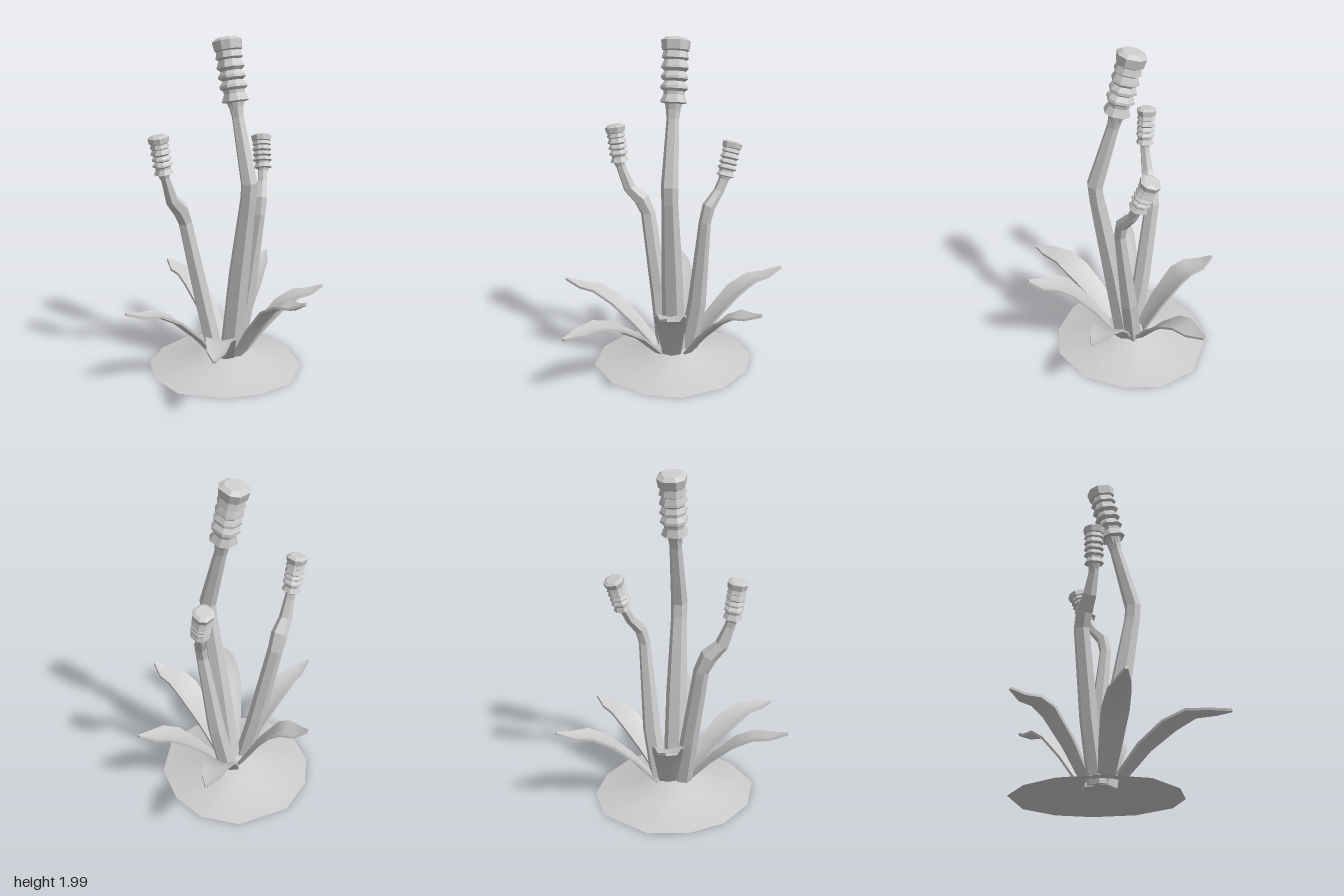
import * as THREE from 'three';
import { toCreasedNormals } from 'three/addons/utils/BufferGeometryUtils.js';

const V = (x, y, z) => new THREE.Vector3(x, y, z);
const flat = new THREE.MeshStandardMaterial({ color: 0xcccccc, flatShading: true });
const smooth = new THREE.MeshStandardMaterial({ color: 0xcccccc, side: THREE.DoubleSide });

// Skin a list of equal-length rings; rings turn counter-clockwise around the travel direction
function loft(rings, capStart, capEnd) {
  const n = rings[0].length, pos = [], idx = [];
  rings.forEach(r => r.forEach(p => pos.push(p.x, p.y, p.z)));
  for (let i = 0; i < rings.length - 1; i++) {
    for (let j = 0; j < n; j++) {
      const a = i * n + j, b = i * n + (j + 1) % n;
      idx.push(a, b, b + n, a, b + n, a + n);
    }
  }
  const cap = (row, flip) => {
    const c = V(0, 0, 0), k = pos.length / 3;
    rings[row].forEach(p => c.addScaledVector(p, 1 / n));
    pos.push(c.x, c.y, c.z);
    for (let j = 0; j < n; j++) {
      const a = row * n + j, b = row * n + (j + 1) % n;
      idx.push(...(flip ? [k, b, a] : [k, a, b]));
    }
  };
  if (capStart) cap(0, true);
  if (capEnd) cap(rings.length - 1, false);
  const g = new THREE.BufferGeometry();
  g.setAttribute('position', new THREE.Float32BufferAttribute(pos, 3));
  g.setIndex(idx);
  g.computeVertexNormals();
  return g;
}

const tangent = (pts, i) =>
  pts[Math.min(i + 1, pts.length - 1)].clone().sub(pts[Math.max(i - 1, 0)]).normalize();

// Place a 2D section on a centre, perpendicular to dir
function ring(center, dir, section, r) {
  const u = V(1, 0, 0).addScaledVector(dir, -dir.x).normalize();
  const v = dir.clone().cross(u);
  return section.map(([a, b]) => center.clone().addScaledVector(u, a * r).addScaledVector(v, b * r));
}

const hexagon = Array.from({ length: 6 }, (_, i) => [Math.cos(i * Math.PI / 3), Math.sin(i * Math.PI / 3)]);
const k = 0.5; // square with cut corners
const cutSquare = [[1, -k], [1, k], [k, 1], [-k, 1], [-1, k], [-1, -k], [-k, -1], [k, -1]];

// Ridged flower head: [fraction of length, fraction of radius]
const headProfile = [
  [-0.12, 0.45], [0, 0.62], [0.02, 0.98], [0.14, 0.74], [0.19, 0.76], [0.23, 1], [0.27, 0.96],
  [0.34, 0.7], [0.38, 0.98], [0.42, 0.96], [0.49, 0.74], [0.54, 1], [0.57, 0.96],
  [0.66, 0.78], [0.69, 0.98], [0.79, 0.84], [0.81, 0.98], [0.95, 1.06], [1, 0.72],
];

function flower(path, radii, top, headRadius) {
  const group = new THREE.Group();
  const pts = path.map(p => V(...p));
  const stem = new THREE.Mesh(
    loft(pts.map((p, i) => ring(p, tangent(pts, i), hexagon, radii[i])), true, true), flat);
  stem.name = 'stem';
  const start = pts[pts.length - 1], axis = V(...top).sub(start), dir = axis.clone().normalize();
  const head = new THREE.Mesh(loft(headProfile.map(([t, r]) =>
    ring(start.clone().addScaledVector(axis, t), dir, cutSquare, r * headRadius)), true, true), flat);
  head.name = 'flowerHead';
  group.add(stem, head);
  return group;
}

// Leaf from base to tip in plan; profile rows are [fraction outward, height]
function leaf([bx, bz], [tx, tz], profile, width) {
  const widths = [0.62, 0.85, 1, 0.84, 0.6, 0.1];
  const pts = profile.map(([t, y]) => V(bx + (tx - bx) * t, y, bz + (tz - bz) * t));
  const side = V(0, 1, 0).cross(V(tx - bx, 0, tz - bz)).normalize();
  const rings = pts.map((p, i) => {
    const up = tangent(pts, i).cross(side);
    const w = width * widths[i], h = 0.007, f = w * 0.12;
    return [[w, f - h], [w, f + h], [0, h - f], [-w, f + h], [-w, f - h], [0, -h - f]]
      .map(([a, b]) => p.clone().addScaledVector(side, a).addScaledVector(up, b));
  });
  const mesh = new THREE.Mesh(toCreasedNormals(loft(rings, true, true), 0.7), smooth);
  mesh.name = 'leaf';
  return mesh;
}

export function createModel() {
  const model = new THREE.Group();

  // Low mound, open underneath
  const outline = [[0.48, 0.02], [0.49, -0.2], [0.38, -0.41], [0.09, -0.54], [-0.15, -0.49], [-0.33, -0.36],
    [-0.44, -0.15], [-0.44, 0.1], [-0.28, 0.3], [-0.07, 0.4], [0.15, 0.4], [0.37, 0.25]];
  const cx = 0.03, cz = -0.05;
  const moundRings = [[1, 0], [0.42, 0.058], [0.25, 0.1]].map(([s, y]) =>
    outline.map(([x, z]) => V(cx + (x - cx) * s, y, cz + (z - cz) * s)));
  const mound = new THREE.Mesh(toCreasedNormals(loft(moundRings, false, true), 0.6), smooth);
  mound.name = 'mound';
  model.add(mound);

  // Tall middle flower and two shorter ones
  const flowers = {
    tallFlower: flower(
      [[0.035, 0.06, -0.02], [0.035, 0.6, 0.06], [0.035, 1.08, 0.142], [0.035, 1.17, 0.15], [0.035, 1.54, 0.045], [0.035, 1.62, 0.025]],
      [0.07, 0.064, 0.048, 0.05, 0.036, 0.046], [0.035, 1.975, -0.06], 0.073),
    rightFlower: flower(
      [[-0.03, 0.06, -0.08], [-0.08, 0.4, -0.14], [-0.16, 0.9, -0.205], [-0.2, 0.99, -0.2], [-0.27, 1.06, -0.185], [-0.31, 1.17, -0.175], [-0.325, 1.22, -0.175]],
      [0.055, 0.053, 0.045, 0.05, 0.04, 0.03, 0.03], [-0.355, 1.445, -0.185], 0.052),
    leftFlower: flower(
      [[0.11, 0.06, -0.07], [0.17, 0.4, -0.035], [0.22, 0.94, 0.025], [0.24, 1.03, 0.015], [0.29, 1.11, -0.035], [0.32, 1.19, -0.065]],
      [0.06, 0.055, 0.035, 0.038, 0.03, 0.03], [0.357, 1.385, -0.13], 0.052),
  };
  for (const [name, f] of Object.entries(flowers)) {
    f.name = name;
    model.add(f);
  }

  // Rosette of six leaves
  const steep = [[0, 0.1], [0.24, 0.29], [0.5, 0.45], [0.66, 0.5], [0.84, 0.51], [1, 0.555]];
  const arched = [[0, 0.1], [0.22, 0.26], [0.46, 0.4], [0.66, 0.47], [0.82, 0.48], [1, 0.52]];
  const low = [[0, 0.1], [0.22, 0.24], [0.45, 0.335], [0.64, 0.38], [0.84, 0.37], [1, 0.365]];
  const middle = arched.map(([t, y]) => [t, y * 0.92]);
  const lower = arched.map(([t, y]) => [t, y * 0.88]);
  model.add(
    leaf([0.05, -0.13], [-0.04, -0.57], steep, 0.09),
    leaf([0.14, -0.12], [0.65, -0.41], arched, 0.085),
    leaf([0.13, 0.0], [0.58, 0.21], lower, 0.085),
    leaf([0.035, 0.07], [0.105, 0.565], steep, 0.09),
    leaf([-0.06, 0.05], [-0.5, 0.52], low, 0.085),
    leaf([-0.08, -0.04], [-0.66, -0.085], middle, 0.075),
  );
  return model;
}
